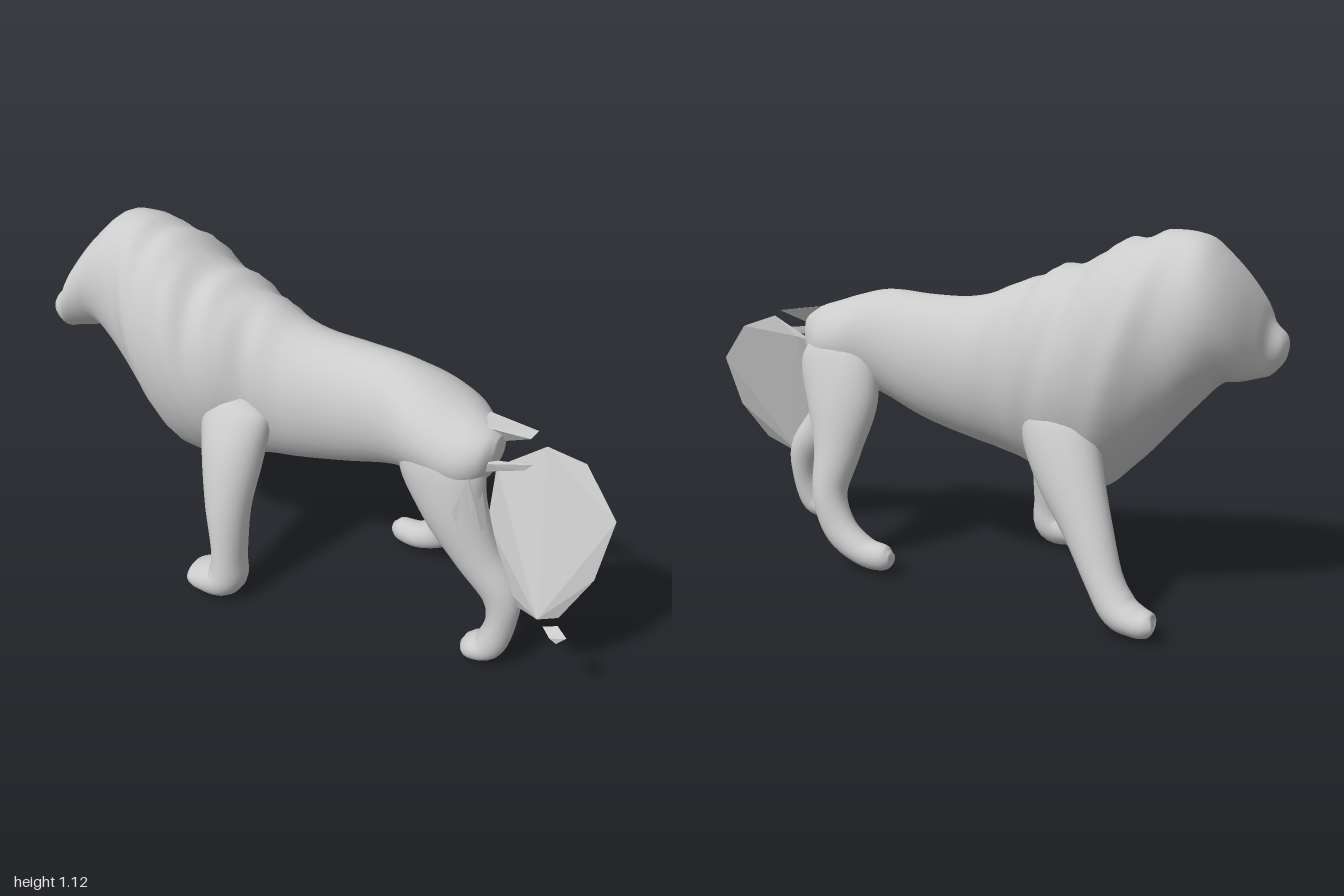
import * as THREE from 'three';
import { ConvexGeometry } from 'three/addons/geometries/ConvexGeometry.js';

const material = new THREE.MeshStandardMaterial({ color: 0xcccccc });
const SIDES = 28;

function addMesh(parent, geometry, name, mat = material) {
  const mesh = new THREE.Mesh(geometry, mat);
  mesh.name = name;
  parent.add(mesh);
}

// Skin a run of closed rings and fan both ends; point(t, angle) gives a surface position.
function skin(steps, point) {
  const positions = [], index = [];
  for (let i = 0; i <= steps; i++) {
    for (let j = 0; j < SIDES; j++) {
      positions.push(...point(i / steps, (j / SIDES) * Math.PI * 2).toArray());
      if (i === steps) continue;
      const k = (j + 1) % SIDES;
      const a = i * SIDES + j, b = i * SIDES + k;
      index.push(a, a + SIDES, b, b, a + SIDES, b + SIDES);
    }
  }
  const last = steps * SIDES;
  for (let j = 1; j < SIDES - 1; j++) {
    index.push(0, j, j + 1, last, last + j + 1, last + j);
  }
  const geometry = new THREE.BufferGeometry();
  geometry.setAttribute('position', new THREE.Float32BufferAttribute(positions, 3));
  geometry.setIndex(index);
  geometry.computeVertexNormals();
  return geometry;
}

// Smooth curve through three chosen columns of a section table.
const track = (rows, a, b, c) => new THREE.CatmullRomCurve3(
  rows.map(r => new THREE.Vector3(r[a], r[b], r[c])), false, 'catmullrom', 0.5);

// Body, mane and head: x, bottom, top, zMin, zMax, keel (narrows the underside)
function bodyGeometry() {
  const rows = [
    [-1.0, 0.775, 0.81, 0.09, 0.14, 0],
    [-0.99, 0.74, 0.83, 0.06, 0.165, 0],
    [-0.96, 0.705, 0.865, 0.02, 0.178, 0],
    [-0.94, 0.70, 0.925, -0.04, 0.18, 0],
    [-0.90, 0.695, 1.0, -0.13, 0.172, 0],
    [-0.85, 0.69, 1.065, -0.19, 0.165, 0],
    [-0.79, 0.63, 1.115, -0.22, 0.172, 0],
    [-0.70, 0.53, 1.125, -0.23, 0.195, 0.05],
    [-0.60, 0.42, 1.105, -0.265, 0.235, 0.1],
    [-0.50, 0.335, 1.065, -0.272, 0.25, 0.12],
    [-0.40, 0.33, 1.015, -0.255, 0.245, 0.12],
    [-0.30, 0.36, 0.99, -0.23, 0.225, 0.1],
    [-0.20, 0.40, 0.945, -0.19, 0.185, 0.05],
    [-0.05, 0.435, 0.895, -0.17, 0.165, 0],
    [0.12, 0.48, 0.89, -0.155, 0.15, 0],
    [0.28, 0.54, 0.895, -0.13, 0.16, 0],
    [0.40, 0.57, 0.87, -0.14, 0.195, 0],
    [0.50, 0.57, 0.84, -0.12, 0.205, 0],
    [0.57, 0.59, 0.82, -0.06, 0.20, 0],
    [0.62, 0.64, 0.80, 0.0, 0.17, 0],
    [0.645, 0.70, 0.78, 0.04, 0.12, 0],
  ];
  const height = track(rows, 0, 1, 2), width = track(rows, 3, 4, 5);
  return skin(110, (t, angle) => {
    const h = height.getPoint(t), w = width.getPoint(t);
    const s = Math.sin(angle), c = Math.cos(angle);
    const y = (h.y + h.z) / 2 + s * (h.z - h.y) / 2;
    // Uneven, slanting folds of hair, strongest over the neck
    const mane = THREE.MathUtils.smoothstep(h.x, -0.78, -0.6)
      * (1 - THREE.MathUtils.smoothstep(h.x, -0.25, -0.05));
    const slant = h.x + 0.3 * (y - 0.7);
    const fold = mane * (0.6 + 0.4 * s)
      * (0.007 * Math.sin(slant * 40 + 6) + 0.004 * Math.sin(slant * 67 + 4 * c));
    const keel = 1 + w.z * s * (1 - s) / 2;
    const z = (w.x + w.y) / 2 + c * keel * (w.y - w.x) / 2;
    return new THREE.Vector3(h.x, y + fold * s, z + fold * c);
  });
}

// Limb rows: x, y, z, radius front to back, radius side to side
function limbGeometry(rows) {
  const path = track(rows, 0, 1, 2), size = track(rows, 3, 4, 4);
  return skin(44, (t, angle) => {
    const p = path.getPoint(t), r = size.getPoint(t), along = path.getTangent(t);
    const side = new THREE.Vector3(0, 0, 1).addScaledVector(along, -along.z).normalize();
    const fore = side.clone().cross(along);
    return p.addScaledVector(side, Math.cos(angle) * r.y)
      .addScaledVector(fore, Math.sin(angle) * r.x);
  });
}

const limbs = {
  leftFrontLeg: [
    [-0.24, 0.68, 0.14, 0.07, 0.045],
    [-0.235, 0.61, 0.16, 0.125, 0.075],
    [-0.215, 0.49, 0.22, 0.108, 0.085],
    [-0.195, 0.34, 0.28, 0.078, 0.073],
    [-0.175, 0.17, 0.312, 0.056, 0.068],
    [-0.185, 0.08, 0.32, 0.067, 0.077],
    [-0.25, 0.058, 0.322, 0.055, 0.078],
    [-0.305, 0.05, 0.325, 0.038, 0.06],
    [-0.32, 0.05, 0.325, 0.012, 0.02],
  ],
  rightFrontLeg: [
    [-0.39, 0.62, -0.15, 0.07, 0.045],
    [-0.405, 0.55, -0.17, 0.12, 0.075],
    [-0.455, 0.43, -0.21, 0.108, 0.08],
    [-0.54, 0.28, -0.265, 0.076, 0.065],
    [-0.61, 0.15, -0.308, 0.057, 0.056],
    [-0.665, 0.078, -0.33, 0.056, 0.058],
    [-0.72, 0.057, -0.345, 0.045, 0.056],
    [-0.765, 0.055, -0.355, 0.035, 0.042],
    [-0.775, 0.055, -0.355, 0.012, 0.015],
  ],
  rightHindLeg: [
    [0.45, 0.75, -0.05, 0.08, 0.045],
    [0.435, 0.67, -0.07, 0.145, 0.075],
    [0.395, 0.53, -0.115, 0.13, 0.082],
    [0.385, 0.38, -0.165, 0.083, 0.066],
    [0.39, 0.24, -0.208, 0.058, 0.056],
    [0.34, 0.13, -0.225, 0.056, 0.05],
    [0.25, 0.07, -0.23, 0.047, 0.05],
    [0.17, 0.06, -0.235, 0.042, 0.04],
    [0.14, 0.06, -0.235, 0.02, 0.02],
  ],
  leftHindLeg: [
    [0.46, 0.75, 0.125, 0.08, 0.045],
    [0.485, 0.67, 0.13, 0.14, 0.075],
    [0.54, 0.53, 0.135, 0.108, 0.082],
    [0.625, 0.39, 0.135, 0.075, 0.069],
    [0.71, 0.28, 0.13, 0.062, 0.06],
    [0.725, 0.18, 0.137, 0.047, 0.055],
    [0.70, 0.085, 0.15, 0.05, 0.055],
    [0.655, 0.058, 0.155, 0.042, 0.056],
    [0.625, 0.05, 0.155, 0.032, 0.04],
    [0.61, 0.05, 0.155, 0.012, 0.015],
  ],
};

// Corner points of the faceted tail pieces
const shards = {
  tailFan: [
    [0.64, 0.68, 0.08], [0.69, 0.70, 0.05], [0.77, 0.77, 0.035], [0.88, 0.73, 0.0],
    [1.0, 0.6, 0.04], [0.98, 0.42, 0.10], [0.91, 0.29, 0.16], [0.86, 0.29, 0.20],
    [0.75, 0.25, 0.13], [0.70, 0.31, 0.13], [0.64, 0.50, 0.11],
  ],
  tailRoot: [
    [0.58, 0.815, 0.02], [0.58, 0.81, 0.10], [0.61, 0.76, 0.06],
    [0.73, 0.795, 0.01], [0.72, 0.78, 0.04], [0.65, 0.755, 0.05],
  ],
  upperStrand: [
    [0.60, 0.72, 0.16], [0.61, 0.69, 0.15], [0.66, 0.73, 0.12],
    [0.75, 0.725, 0.08], [0.73, 0.705, 0.09],
  ],
  lowerStrand: [
    [0.60, 0.68, 0.18], [0.62, 0.67, 0.14], [0.57, 0.57, 0.215],
    [0.62, 0.52, 0.17], [0.67, 0.32, 0.185], [0.70, 0.31, 0.16],
  ],
  tailTip: [
    [0.89, 0.30, 0.23], [0.93, 0.31, 0.215], [0.965, 0.29, 0.23],
    [0.94, 0.265, 0.24], [0.92, 0.28, 0.245],
  ],
};

export function createModel() {
  const model = new THREE.Group();
  model.name = 'lion';
  addMesh(model, bodyGeometry(), 'bodyManeAndHead');
  for (const [name, rows] of Object.entries(limbs)) addMesh(model, limbGeometry(rows), name);

  const tail = new THREE.Group();
  tail.name = 'tail';
  model.add(tail);
  const flat = material.clone();
  flat.flatShading = true;
  for (const [name, points] of Object.entries(shards)) {
    addMesh(tail, new ConvexGeometry(points.map(p => new THREE.Vector3(...p))), name, flat);
  }
  return model;
}
